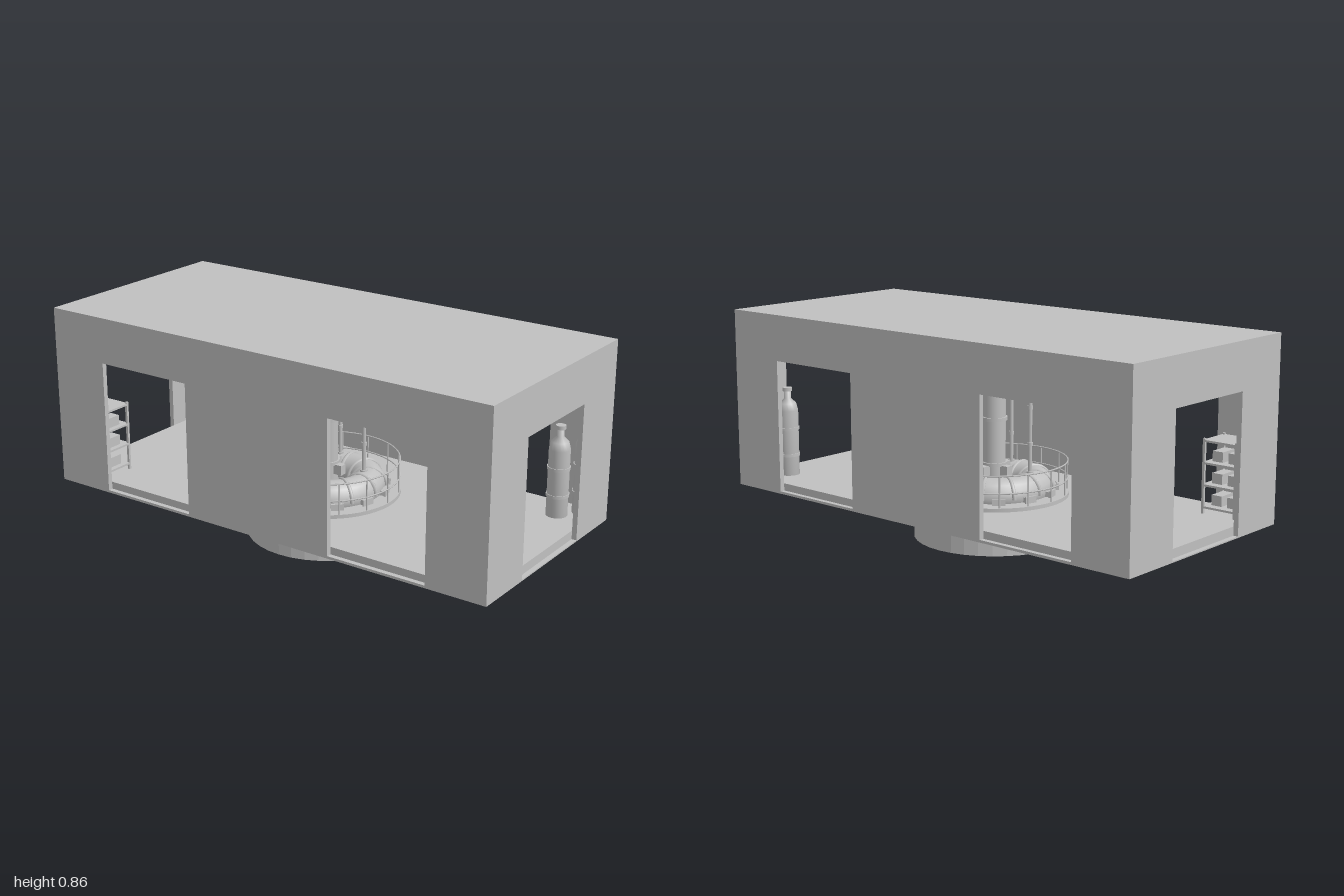
import * as THREE from 'three';

const grey = new THREE.MeshStandardMaterial({ color: 0xc0c0c0 });

export function createModel() {
  const model = new THREE.Group();
  const FLOOR = 0.165, CEILING = 0.8, BOTTOM = 0.125, TOP = 0.855, T = 0.02;

  const group = (name) => {
    const g = new THREE.Group();
    g.name = name;
    model.add(g);
    return g;
  };
  const add = (parent, name, geo, x = 0, y = 0, z = 0, ry = 0) => {
    const m = new THREE.Mesh(geo, grey);
    m.name = name;
    m.position.set(x, y, z);
    m.rotation.y = ry;
    parent.add(m);
    return m;
  };
  const box = (p, name, w, h, d, x, y, z, ry) =>
    add(p, name, new THREE.BoxGeometry(w, h, d), x, y, z, ry);
  // upright cylinder from height y0 to y1
  const cyl = (p, name, r, y0, y1, x = 0, z = 0, seg = 24) =>
    add(p, name, new THREE.CylinderGeometry(r, r, y1 - y0, seg), x, (y0 + y1) / 2, z);
  const ring = (p, name, r, tube, y) => {
    const m = add(p, name, new THREE.TorusGeometry(r, tube, 6, 48), 0, y, 0);
    m.rotation.x = Math.PI / 2;
    return m;
  };

  // Room shell: walls with rectangular openings [x0, x1, y0, y1]
  const shell = group('roomShell');
  const wallGeo = (width, openings) => {
    const rect = (path, x0, x1, y0, y1) =>
      path.moveTo(x0, y0).lineTo(x1, y0).lineTo(x1, y1).lineTo(x0, y1).closePath();
    const shape = new THREE.Shape();
    rect(shape, -width / 2, width / 2, BOTTOM, TOP);
    for (const o of openings) {
      const hole = new THREE.Path();
      rect(hole, ...o);
      shape.holes.push(hole);
    }
    return new THREE.ExtrudeGeometry(shape, { depth: T, bevelEnabled: false });
  };
  const longWall = wallGeo(2, [[-0.75, -0.33, 0.135, 0.67], [0.33, 0.75, 0.135, 0.67]]);
  const endWall = wallGeo(0.916 - 2 * T, [[-0.208, 0.208, 0.13, 0.67]]);
  add(shell, 'frontWall', longWall, 0, 0, 0.458 - T);
  add(shell, 'backWall', longWall, 0, 0, -0.458 + T, Math.PI);
  add(shell, 'leftWall', endWall, 1 - T, 0, 0, Math.PI / 2);
  add(shell, 'rightWall', endWall, -1 + T, 0, 0, -Math.PI / 2);
  box(shell, 'floor', 2 - 2 * T, FLOOR - BOTTOM, 0.916 - 2 * T, 0, (FLOOR + BOTTOM) / 2, 0);
  box(shell, 'roof', 2 - 2 * T, TOP - CEILING, 0.916 - 2 * T, 0, (TOP + CEILING) / 2, 0);

  // Faceted round foot under the room
  const foot = cyl(shell, 'foot', 0.318, 0, BOTTOM, 0, 0, 36);
  foot.geometry = foot.geometry.toNonIndexed();
  foot.geometry.computeVertexNormals();

  // Ring-shaped vessel on a round plinth
  const vessel = group('ringVessel');
  cyl(vessel, 'plinth', 0.295, FLOOR, 0.18, 0, 0, 48);
  const bodyTorus = ring(vessel, 'vesselBody', 0.165, 0.068, 0.2);
  bodyTorus.geometry = new THREE.TorusGeometry(0.165, 0.068, 16, 48);
  const ribGeo = new THREE.TorusGeometry(0.071, 0.008, 6, 20, Math.PI);
  for (let i = 0; i < 12; i++) {
    const a = (i * Math.PI) / 6, b = a + Math.PI / 12;
    add(vessel, 'rib', ribGeo, Math.cos(a) * 0.165, 0.195, -Math.sin(a) * 0.165, a);
    const port = new THREE.Group();
    port.name = 'port';
    port.rotation.y = b;
    vessel.add(port);
    box(port, 'portDuct', 0.06, 0.02, 0.04, 0.22, 0.191, 0);
    box(port, 'portFlange', 0.008, 0.026, 0.05, 0.25, 0.193, 0);
  }

  // Central column with bands and a ceiling collar
  const column = group('centralColumn');
  cyl(column, 'columnShaft', 0.045, 0.18, CEILING);
  for (const y of [0.29, 0.47, 0.617, 0.74]) cyl(column, 'columnBand', 0.052, y - 0.007, y + 0.007);
  cyl(column, 'ceilingCollar', 0.13, 0.785, CEILING, 0, 0, 32);
  for (let i = 0; i < 4; i++) {
    const a = (i * Math.PI) / 2;
    box(column, 'columnBracket', 0.04, 0.04, 0.03, Math.cos(a) * 0.06, 0.267, Math.sin(a) * 0.06, -a);
  }

  // Four feed pipes around the column
  const pipes = group('feedPipes');
  for (let i = 0; i < 4; i++) {
    const a = (i * Math.PI) / 2 - Math.PI / 12;
    const x = Math.cos(a) * 0.155, z = Math.sin(a) * 0.155;
    cyl(pipes, 'pipe', 0.008, 0.25, CEILING, x, z, 12);
    for (const y of [0.38, 0.525, 0.67]) cyl(pipes, 'pipeCollar', 0.011, y - 0.007, y + 0.007, x, z, 12);
    cyl(pipes, 'pipeFoot', 0.014, 0.25, 0.272, x, z, 12);
  }

  // Circular guard rail
  const rail = group('guardRail');
  for (const y of [0.235, 0.304]) ring(rail, 'railRing', 0.29, 0.003, y);
  for (let i = 0; i < 16; i++) {
    const a = (i * Math.PI) / 8;
    cyl(rail, 'railPost', 0.003, 0.165, 0.305, Math.cos(a) * 0.29, Math.sin(a) * 0.29, 8);
  }

  // Storage rack in the front corner
  const rack = group('storageRack');
  for (const x of [-0.93, -0.79])
    for (const z of [0.29, 0.42]) box(rack, 'rackPost', 0.01, 0.29, 0.01, x, FLOOR + 0.145, z);
  for (const y of [0.19, 0.275, 0.36, 0.445]) box(rack, 'rackShelf', 0.15, 0.008, 0.14, -0.86, y, 0.355);
  for (const y of [0.194, 0.279, 0.364])
    for (const x of [-0.9, -0.83]) box(rack, 'crate', 0.045, 0.04, 0.08, x, y + 0.02, 0.36);

  // Gas bottles in the opposite corner
  const bottles = group('gasBottles');
  const profile = [[0, 0], [0.042, 0], [0.042, 0.27], [0.034, 0.3], [0.014, 0.32], [0.014, 0.35], [0, 0.35]]
    .map(([r, y]) => new THREE.Vector2(r, y));
  for (const [x, z] of [[0.86, -0.31], [0.93, -0.39]]) {
    add(bottles, 'bottle', new THREE.LatheGeometry(profile, 20), x, FLOOR, z);
    cyl(bottles, 'valve', 0.02, 0.515, 0.53, x, z, 12);
    for (const y of [0.25, 0.36]) cyl(bottles, 'bottleStrap', 0.045, y - 0.006, y + 0.006, x, z, 20);
  }

  // Low drum in the back corner
  const drum = group('drum');
  cyl(drum, 'drumBody', 0.055, FLOOR, 0.24, -0.9, -0.3);
  cyl(drum, 'drumLid', 0.062, 0.24, 0.26, -0.9, -0.3);

  return model;
}
